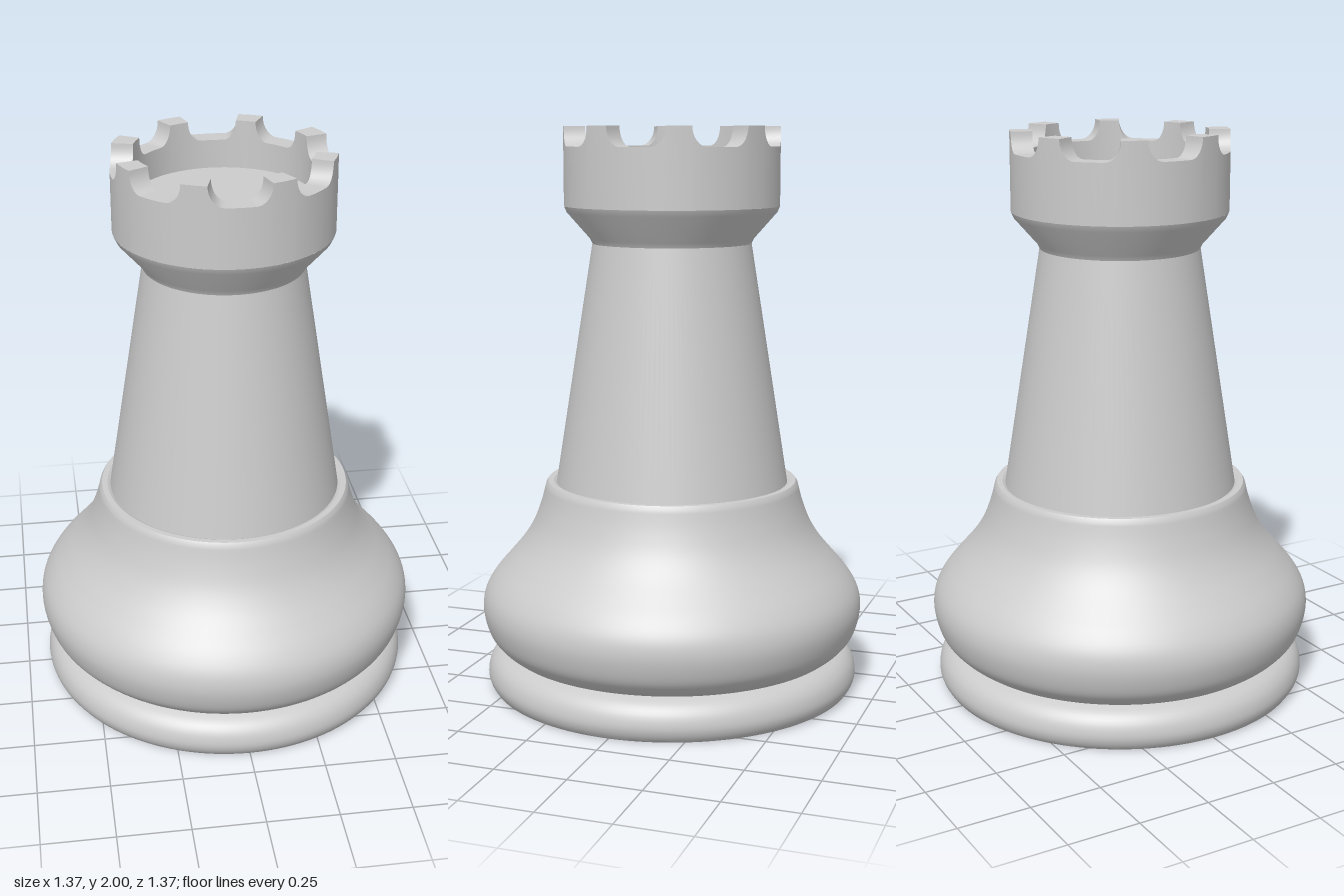
import * as THREE from 'three';
import { toCreasedNormals } from 'three/addons/utils/BufferGeometryUtils.js';

const material = new THREE.MeshStandardMaterial({ color: 0xcccccc });
const SEGMENTS = 128;
const CREASE = THREE.MathUtils.degToRad(28);

const v = (r, y) => new THREE.Vector2(r, y);
const smooth = (pairs, n) => new THREE.SplineCurve(pairs.map(([r, y]) => v(r, y))).getPoints(n);

function part(name, geometry) {
  const mesh = new THREE.Mesh(toCreasedNormals(geometry, CREASE), material);
  mesh.name = name;
  return mesh;
}

const turned = (name, points) => part(name, new THREE.LatheGeometry(points, SEGMENTS));

// Rim height and angle samples for one of the eight sectors, merlon in the middle
const MERLONS = 8, TOP = 2, NOTCH = 1.93, HALF = 6.6, FILLET = 8.2, STEPS = 8;
function sectorSamples() {
  const side = [];
  for (let i = 0; i <= STEPS; i++) {
    const a = (i / STEPS) * Math.PI / 2;
    side.push([HALF + FILLET * (1 - Math.cos(a)), TOP - (TOP - NOTCH) * Math.sin(a)]);
  }
  side.push([18.5, NOTCH]);
  const left = side.map(([a, y]) => [-a, y]).reverse();
  return [[-22.5, NOTCH], ...left, [0, TOP], ...side];
}

// Crown wall: each angle has its own cross-section, following the notched rim
function crownGeometry(outer, inner, bottom, floor) {
  const samples = [];
  for (let k = 0; k < MERLONS; k++) {
    for (const [a, y] of sectorSamples()) samples.push([22.5 + k * 45 + a, y]);
  }
  samples.push([360, NOTCH]);

  const positions = [], index = [];
  for (const [deg, rim] of samples) {
    const a = THREE.MathUtils.degToRad(deg);
    const section = [[outer, bottom], [outer, rim], [inner, rim], [inner, floor]];
    for (const [r, y] of section) positions.push(r * Math.sin(a), y, r * Math.cos(a));
  }
  for (let i = 0; i < samples.length - 1; i++) {
    for (let j = 0; j < 3; j++) {
      const a = i * 4 + j, b = a + 4;
      index.push(a, b, a + 1, b + 1, a + 1, b);
    }
  }
  const geometry = new THREE.BufferGeometry();
  geometry.setAttribute('position', new THREE.Float32BufferAttribute(positions, 3));
  geometry.setIndex(index);
  return geometry;
}

export function createModel() {
  const group = new THREE.Group();
  group.name = 'rook';

  // Foot ring with its flat underside
  group.add(turned('foot', [
    v(0, 0), v(0.645, 0),
    ...smooth([[0.65, 0.003], [0.664, 0.025], [0.67, 0.055], [0.66, 0.095], [0.635, 0.125], [0.6, 0.142]], 16),
  ]));

  // Bulging base and the small ledge around the shaft
  group.add(turned('base', [
    ...smooth([
      [0.6, 0.142], [0.632, 0.167], [0.662, 0.205], [0.68, 0.26], [0.684, 0.31], [0.672, 0.36],
      [0.64, 0.412], [0.592, 0.468], [0.54, 0.53], [0.5, 0.595], [0.471, 0.67], [0.453, 0.738],
    ], 44),
    v(0.445, 0.75), v(0.425, 0.75), v(0.41, 0.742),
  ]));

  // Tapered shaft
  group.add(turned('shaft', [v(0.415, 0.742), v(0.28, 1.595)]));

  // Flared collar under the crown
  group.add(turned('collar', [v(0.28, 1.595), v(0.288, 1.612), v(0.369, 1.704), v(0.378, 1.725)]));

  // Battlements and the sunken floor inside them
  group.add(part('battlements', crownGeometry(0.378, 0.304, 1.725, 1.83)));
  const floor = part('crownFloor', new THREE.CircleGeometry(0.304, SEGMENTS));
  floor.rotation.x = -Math.PI / 2;
  floor.position.y = 1.83;
  group.add(floor);

  return group;
}
